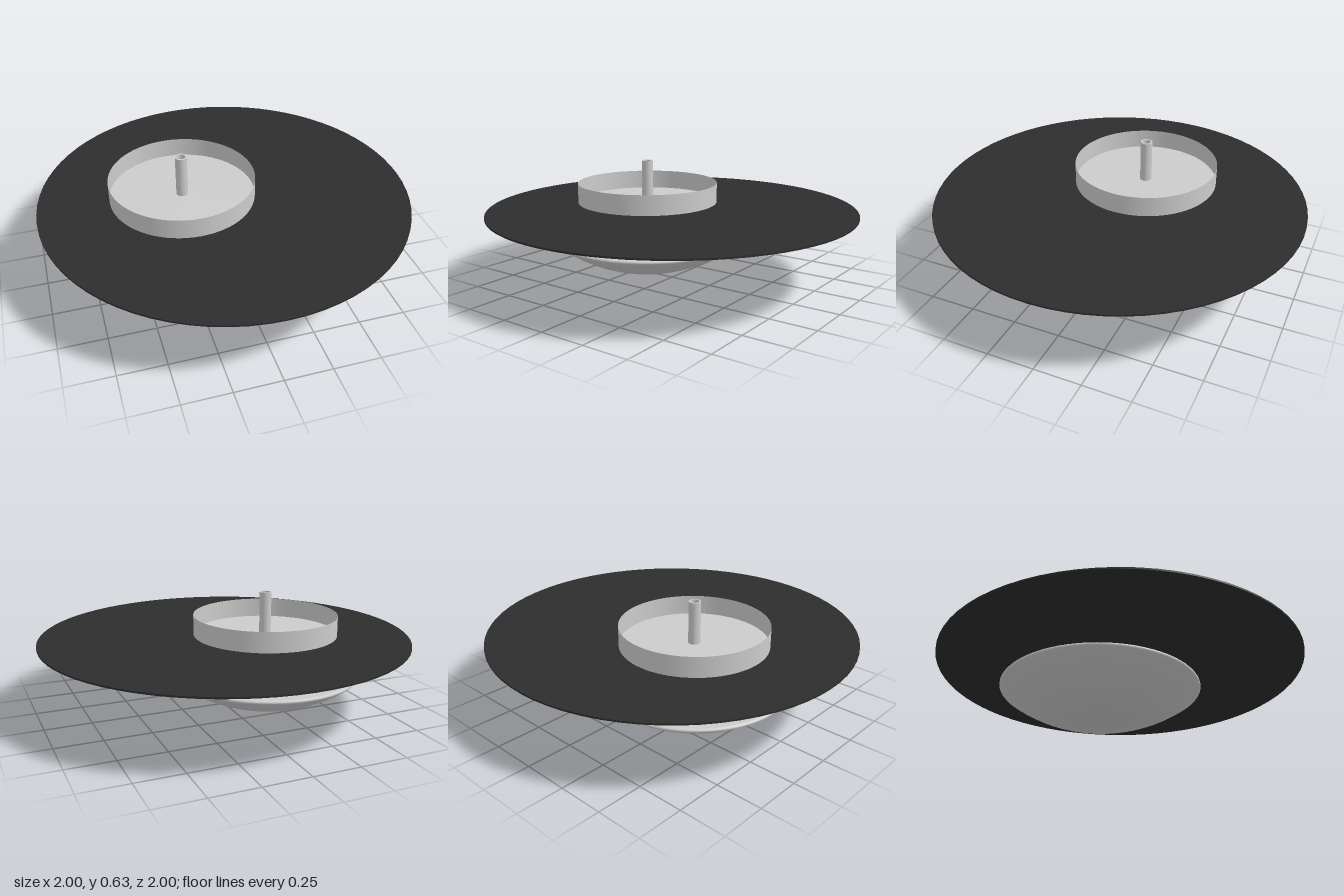
import * as THREE from 'three';

const SEG = 72;

export function createModel() {
  const model = new THREE.Group();
  const metal = new THREE.MeshStandardMaterial({ color: 0xcccccc, side: THREE.DoubleSide });
  metal.name = 'pale grey metal';
  const dark = new THREE.MeshStandardMaterial({ color: 0x2d2d2d });
  dark.name = 'charcoal';

  const add = (parent, name, geometry, material, y = 0) => {
    const mesh = new THREE.Mesh(geometry, material);
    mesh.name = name;
    mesh.position.y = y;
    parent.add(mesh);
    return mesh;
  };
  const lathe = (points) =>
    new THREE.LatheGeometry(points.map(([r, y]) => new THREE.Vector2(r, y)), SEG);

  // Wide thin reflector disc
  add(model, 'reflectorDisc', new THREE.CylinderGeometry(1, 1, 0.009, SEG), dark, 0.396);

  // Everything else shares an off-centre axis
  const lamp = new THREE.Group();
  lamp.name = 'lampAssembly';
  lamp.position.set(-0.218, 0, -0.063);
  model.add(lamp);

  // Open cup above the disc: thin wall and floor
  add(lamp, 'canopyWall', new THREE.CylinderGeometry(0.394, 0.394, 0.11, SEG, 1, true), metal, 0.456);
  add(lamp, 'canopyFloor', new THREE.CylinderGeometry(0.394, 0.394, 0.004, SEG), metal, 0.403);

  // Hollow upper tube
  const tube = new THREE.Shape().absarc(0, 0, 0.032, 0, Math.PI * 2);
  tube.holes.push(new THREE.Path().absarc(0, 0, 0.023, 0, Math.PI * 2, true));
  const tubeGeo = new THREE.ExtrudeGeometry(tube, { depth: 0.23, bevelEnabled: false, curveSegments: 24 });
  tubeGeo.rotateX(-Math.PI / 2);
  add(lamp, 'upperTube', tubeGeo, metal, 0.404);

  // Collar and stem below the disc
  add(lamp, 'collar', new THREE.CylinderGeometry(0.07, 0.07, 0.02, 40), metal, 0.382);
  add(lamp, 'stem', new THREE.CylinderGeometry(0.042, 0.042, 0.19, 32), metal, 0.28);

  // Shallow spherical bowl with a rounded lip
  const rimR = 0.512, depth = 0.172;
  const R = (rimR * rimR + depth * depth) / (2 * depth);
  const bowl = [];
  for (let i = 0; i <= 24; i++) {
    const r = (rimR * i) / 24;
    bowl.push([r, R - Math.sqrt(R * R - r * r)]);
  }
  bowl.push([0.516, 0.177], [0.516, 0.183], [0.512, 0.188], [0.505, 0.19], [0.495, 0.19]);
  add(lamp, 'bowl', lathe(bowl), metal);

  // Nearly flat top of the bowl
  add(lamp, 'bowlTop', lathe([[0.496, 0.19], [0.455, 0.187], [0.001, 0.187]]), metal);

  return model;
}
